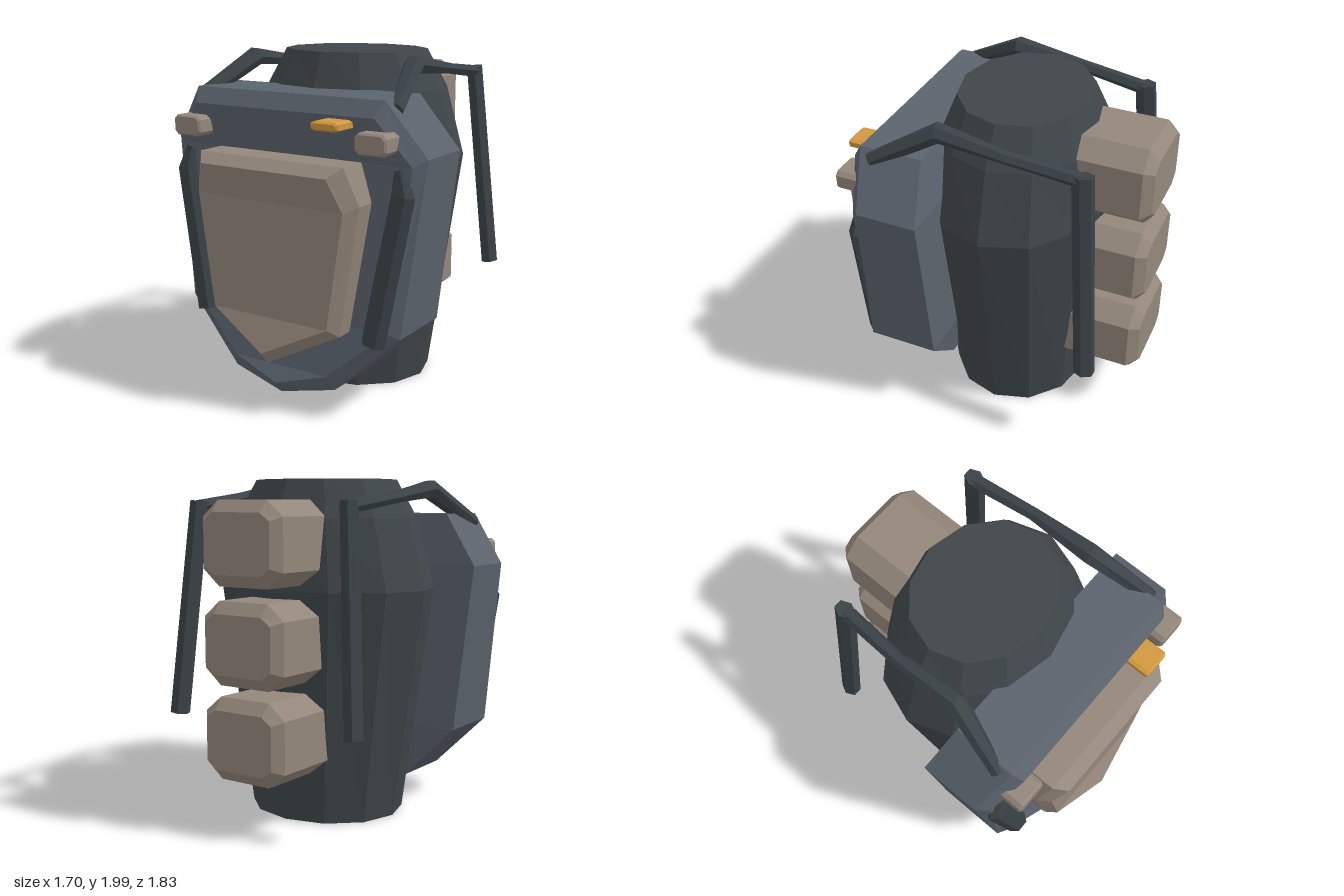
import * as THREE from 'three';

const mat = (name, color) => new THREE.MeshStandardMaterial({ name, color });

// Flat-faced solid skinned through matching loops of [x, y, z], with capped ends
function loft(loops) {
  const n = loops[0].length, tris = [];
  const quad = (a, b, c, d) => tris.push([a, b, c], [a, c, d]);
  for (let k = 0; k + 1 < loops.length; k++) {
    const A = loops[k], B = loops[k + 1];
    for (let i = 0; i < n; i++) { const j = (i + 1) % n; quad(A[i], A[j], B[j], B[i]); }
  }
  const cap = (L, flip) => {
    for (let i = 0; i < n - 2 - i; i++) {
      const c = [L[i], L[i + 1], L[n - 2 - i], L[n - 1 - i]];
      if (flip) c.reverse();
      quad(...c);
    }
  };
  cap(loops[0], true);
  cap(loops[loops.length - 1], false);
  // turn the faces outwards
  const v = (p) => new THREE.Vector3(...p);
  let vol = 0;
  for (const [a, b, c] of tris) vol += v(a).dot(v(b).cross(v(c)));
  if (vol < 0) tris.forEach((t) => t.reverse());
  const g = new THREE.BufferGeometry();
  g.setAttribute('position', new THREE.Float32BufferAttribute(tris.flat(2), 3));
  g.computeVertexNormals();
  return g;
}

// Closed symmetric loop from its +x half, listed top to bottom
const mirror = (half) => [
  ...half,
  ...half.filter((p) => p[0] > 0).reverse().map(([x, y, z]) => [-x, y, z]),
];

// Horizontal twelve-sided ring
const ring = (y, rx, rz, cz) => Array.from({ length: 12 }, (_, i) => {
  const a = (i * Math.PI) / 6;
  return [Math.cos(a) * rx, y, cz + Math.sin(a) * rz];
});

// Upright rectangle with cut corners
const octagon = (cx, cy, w, h, cut, cutY, z) => [
  [w - cut, h], [w, h - cutY], [w, cutY - h], [w - cut, -h],
  [cut - w, -h], [-w, cutY - h], [-w, h - cutY], [cut - w, h],
].map(([x, y]) => [cx + x, cy + y, z]);

// Six-sided strap along points [x, y, z, halfWidth, halfThickness]
function strap(points, side) {
  const P = points.map((p) => new THREE.Vector3(p[0] * side, p[1], p[2]));
  const loops = P.map((p, i) => {
    const t = P[Math.min(i + 1, P.length - 1)].clone().sub(P[Math.max(i - 1, 0)]).normalize();
    const u = new THREE.Vector3(1, 0, 0).addScaledVector(t, -t.x).normalize();
    const w = new THREE.Vector3().crossVectors(t, u);
    return Array.from({ length: 6 }, (_, k) => {
      const a = (k * Math.PI) / 3;
      return p.clone()
        .addScaledVector(u, Math.cos(a) * points[i][3])
        .addScaledVector(w, Math.sin(a) * points[i][4] * 1.15).toArray();
    });
  });
  return loft(loops);
}

export function createModel() {
  const group = new THREE.Group();
  const charcoal = mat('charcoal fabric', 0x3f4649);
  const slate = mat('slate panel', 0x5b636d);
  const tan = mat('tan canvas', 0x94877b);
  const webbing = mat('dark webbing', 0x3b4348);
  const amber = mat('amber buckle', 0xd1983f);
  const add = (name, geometry, material) => {
    const m = new THREE.Mesh(geometry, material);
    m.name = name;
    group.add(m);
  };

  // Main bag
  add('body', loft([
    ring(0, 0.48, 0.425, -0.07), ring(1.36, 0.69, 0.53, -0.08),
    ring(1.77, 0.57, 0.47, -0.08), ring(1.99, 0.44, 0.38, -0.08),
  ]), charcoal);

  // Shield-shaped front panel: back edge, front edge, bevelled face
  const outer = [[0.63, 1.79], [0.85, 1.49], [0.73, 0.5], [0.35, 0.145], [0, 0.065]];
  const inner = [[0.6, 1.7], [0.79, 1.45], [0.67, 0.53], [0.32, 0.23], [0, 0.14]];
  const withZ = (pts, zs) => mirror(pts.map(([x, y], i) => [x, y, zs[i]]));
  add('frontPanel', loft([
    withZ(outer, [0.27, 0.21, 0.21, 0.28, 0.3]),
    withZ(outer, [0.64, 0.57, 0.63, 0.7, 0.73]),
    withZ(inner, [0.7, 0.63, 0.67, 0.74, 0.79]),
  ]), slate);

  // Front pocket
  const pocketOuter = [[0.48, 1.45], [0.55, 1.24], [0.43, 0.5], [0, 0.285]];
  const pocketInner = [[0.42, 1.395], [0.49, 1.21], [0.39, 0.55], [0, 0.36]];
  add('frontPocket', loft([
    withZ(pocketOuter, [0.62, 0.58, 0.6, 0.68]),
    withZ(pocketOuter, [0.81, 0.76, 0.77, 0.85]),
    withZ(pocketInner, [0.885, 0.83, 0.84, 0.915]),
  ]), tan);

  // Stacked pouches on the back
  [1.635, 1.08, 0.54].forEach((y, i) => add(`backPouch${i + 1}`, loft([
    octagon(0, y, 0.28, 0.238, 0.11, 0.09, -0.46),
    octagon(0, y, 0.28, 0.238, 0.11, 0.09, -0.855),
    octagon(0, y, 0.23, 0.17, 0.065, 0.045, -0.912),
  ]), tan));

  // Clips on the front panel
  const clip = (x, y, w, h, z0, z1) => loft([
    octagon(x, y, w, h, w * 0.25, h * 0.4, z0),
    octagon(x, y, w, h, w * 0.25, h * 0.4, z1 - 0.012),
    octagon(x, y, w - 0.012, h - 0.01, w * 0.22, h * 0.35, z1),
  ]);
  add('amberClip', clip(0.375, 1.657, 0.087, 0.025, 0.64, 0.835), amber);

  for (const s of [1, -1]) {
    const side = s > 0 ? 'left' : 'right';
    add(`${side}Clip`, clip(s * 0.617, 1.575, 0.097, 0.058, 0.58, 0.773), tan);
    // Strap down the front panel
    add(`${side}FrontStrap`, strap([
      [0.585, 0.455, 0.675, 0.075, 0.045], [0.74, 1.3, 0.635, 0.072, 0.045],
      [0.71, 1.43, 0.62, 0.035, 0.03],
    ], s), webbing);
    // Strap over the shoulder
    add(`${side}ShoulderStrap`, strap([
      [0.655, 1.73, 0.57, 0.04, 0.04], [0.55, 1.935, 0.2, 0.062, 0.05],
      [0.56, 1.885, -0.2, 0.04, 0.03], [0.53, 1.835, -0.61, 0.045, 0.035],
    ], s), webbing);
    // Strap hanging behind
    add(`${side}HangingStrap`, strap([
      [0.53, 1.865, -0.61, 0.05, 0.055], [0.63, 0.605, -0.71, 0.055, 0.055],
    ], s), webbing);
  }
  return group;
}
